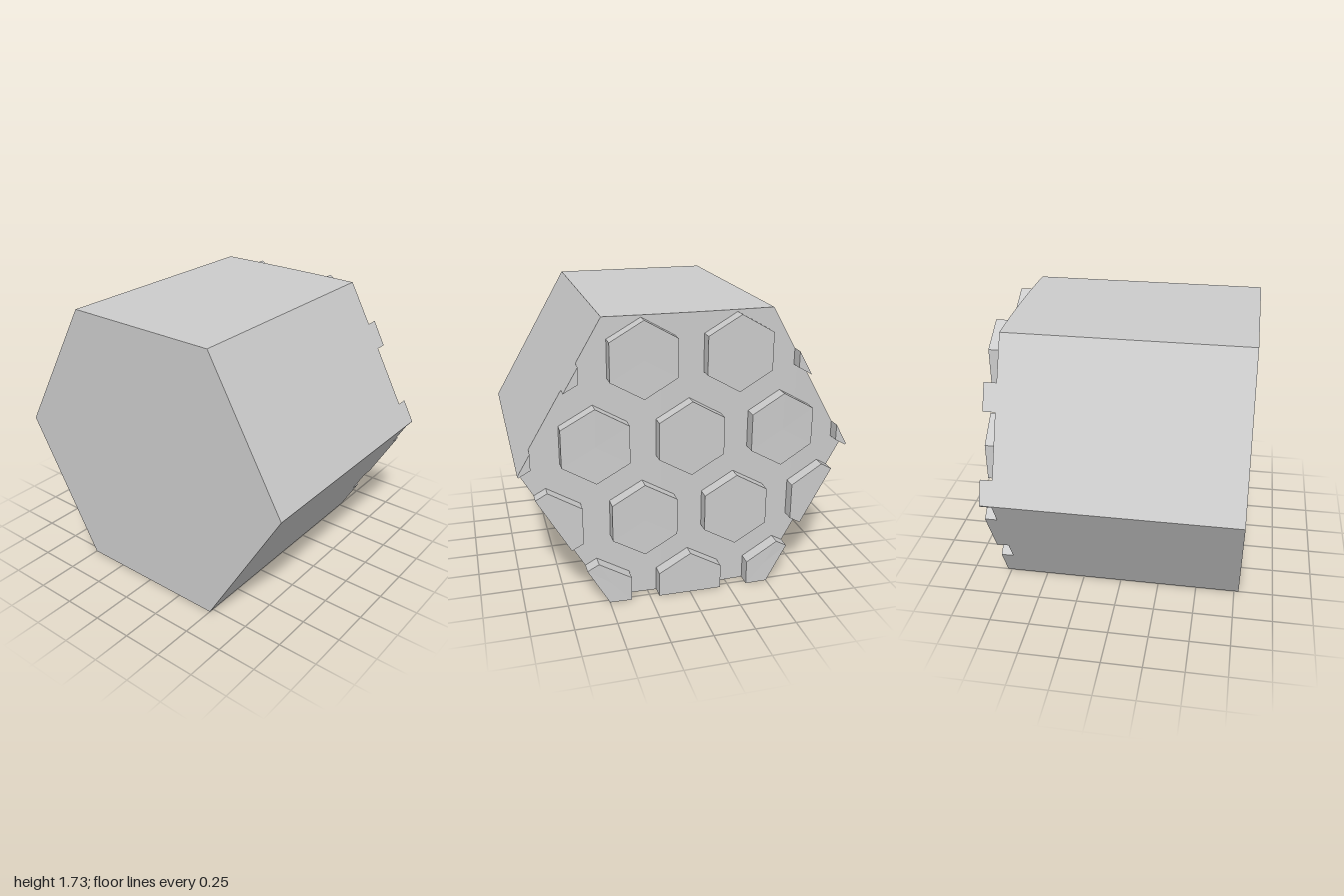
import * as THREE from 'three';

const CY = Math.sqrt(3) / 2; // centre height of the unit hexagon
const FRONT = 0.78;
const STUD_R = 0.225, ROW = 0.485, COL = 0.56;

// depth of the gently bowed back and of the stud tops at a given x
const backZ = x => -0.704 + 0.041 * x * x;
const studZ = x => -0.78 + 0.08 * Math.max(0, Math.abs(x) - 0.45);
const halfHeight = x => Math.min(CY, Math.sqrt(3) * (1 - Math.abs(x)));

function hexagon(cx, cy, r, turn) {
  return Array.from({ length: 6 }, (_, i) => {
    const a = turn + i * Math.PI / 3;
    return [cx + r * Math.cos(a), cy + r * Math.sin(a)];
  });
}

// trim a polygon to a convex counter-clockwise outline
function clip(poly, outline) {
  outline.forEach((a, i) => {
    const b = outline[(i + 1) % outline.length];
    const side = p => (b[0] - a[0]) * (p[1] - a[1]) - (b[1] - a[1]) * (p[0] - a[0]);
    const out = [];
    poly.forEach((p, j) => {
      const q = poly[(j + 1) % poly.length], sp = side(p), sq = side(q);
      if (sp >= 0) out.push(p);
      if ((sp >= 0) !== (sq >= 0)) {
        const t = sp / (sp - sq);
        out.push([p[0] + (q[0] - p[0]) * t, p[1] + (q[1] - p[1]) * t]);
      }
    });
    poly = out;
  });
  return poly;
}

function geometryFrom(points) {
  const g = new THREE.BufferGeometry();
  g.setAttribute('position', new THREE.Float32BufferAttribute(points.flat(), 3));
  g.computeVertexNormals();
  return g;
}

const quad = (a, b, c, d) => [a, b, c, a, c, d];

// hexagonal prism made of vertical slices so the back can bow
function bodyGeometry() {
  const pts = [], n = 24;
  for (let i = 0; i < n; i++) {
    const x0 = -1 + 2 * i / n, x1 = -1 + 2 * (i + 1) / n;
    const p = (x, up, z) => [x, CY + up * halfHeight(x), z];
    const z0 = backZ(x0), z1 = backZ(x1);
    pts.push(...quad(p(x0, -1, FRONT), p(x1, -1, FRONT), p(x1, 1, FRONT), p(x0, 1, FRONT)));
    pts.push(...quad(p(x1, -1, z1), p(x0, -1, z0), p(x0, 1, z0), p(x1, 1, z1)));
    pts.push(...quad(p(x0, 1, FRONT), p(x1, 1, FRONT), p(x1, 1, z1), p(x0, 1, z0)));
    pts.push(...quad(p(x0, -1, z0), p(x1, -1, z1), p(x1, -1, FRONT), p(x0, -1, FRONT)));
  }
  return geometryFrom(pts);
}

// raised stud following the bow, with walls and a fan top
function studGeometry(poly) {
  const pts = [];
  const mx = poly.reduce((s, p) => s + p[0], 0) / poly.length;
  const my = poly.reduce((s, p) => s + p[1], 0) / poly.length;
  const mz = poly.reduce((s, p) => s + studZ(p[0]), 0) / poly.length;
  poly.forEach((p, i) => {
    const q = poly[(i + 1) % poly.length];
    const top = v => [v[0], v[1], studZ(v[0])];
    const foot = v => [v[0], v[1], backZ(v[0]) + 0.004];
    pts.push([mx, my, mz], top(q), top(p));
    pts.push(...quad(top(p), top(q), foot(q), foot(p)));
  });
  return geometryFrom(pts);
}

export function createModel() {
  const model = new THREE.Group();
  model.name = 'hexagonalBlock';
  const grey = new THREE.MeshStandardMaterial({ color: 0xcccccc });
  grey.name = 'light grey';

  const body = new THREE.Mesh(bodyGeometry(), grey);
  body.name = 'body';
  model.add(body);

  // staggered rows of studs, trimmed at the block's outline
  const studs = new THREE.Group();
  studs.name = 'backStuds';
  const outline = hexagon(0, CY, 1, 0);
  for (let row = 0; row < 4; row++) {
    const y = 1.495 - row * ROW;
    const shift = row % 2 ? 0 : COL / 2;
    for (let col = -3; col <= 3; col++) {
      const poly = clip(hexagon(col * COL + shift, y, STUD_R, Math.PI / 6), outline);
      if (poly.length < 3) continue;
      const stud = new THREE.Mesh(studGeometry(poly), grey);
      stud.name = 'stud';
      studs.add(stud);
    }
  }
  model.add(studs);
  return model;
}
